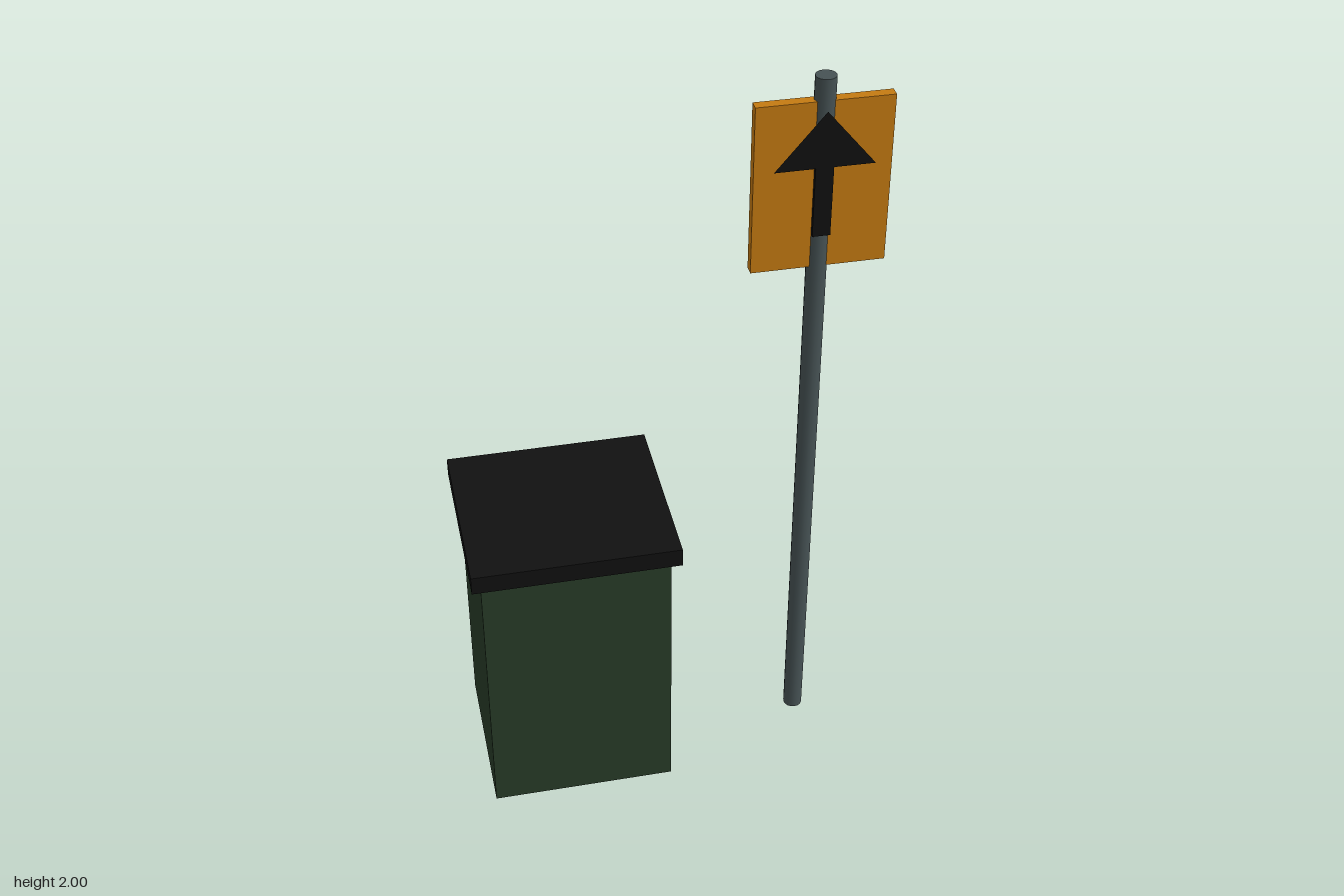
import * as THREE from 'three';

const mat = (name, color) => {
  const m = new THREE.MeshStandardMaterial({ color });
  m.name = name;
  return m;
};

export function createModel() {
  const model = new THREE.Group();
  model.name = 'binAndSign';

  const green = mat('dark green', 0x283c28);
  const black = mat('black', 0x101010);
  const grey = mat('slate grey', 0x465254);
  const orange = mat('amber', 0xc47a12);

  const add = (parent, name, geometry, material, x, y, z) => {
    const mesh = new THREE.Mesh(geometry, material);
    mesh.name = name;
    mesh.position.set(x, y, z);
    parent.add(mesh);
    return mesh;
  };

  // Litter bin: plain body with an overhanging lid
  const bin = new THREE.Group();
  bin.name = 'bin';
  bin.position.x = -0.279;
  model.add(bin);
  add(bin, 'binBody', new THREE.BoxGeometry(0.488, 0.77, 0.45), green, 0, 0.41, 0);
  add(bin, 'binLid', new THREE.BoxGeometry(0.537, 0.051, 0.493), black, 0, 0.82, 0);

  // Sign post: the pole passes through the panel
  const sign = new THREE.Group();
  sign.name = 'sign';
  sign.position.x = 0.373;
  model.add(sign);
  add(sign, 'signPole', new THREE.CylinderGeometry(0.026, 0.026, 2, 16), grey, 0, 1, 0);
  add(sign, 'signPanel', new THREE.BoxGeometry(0.338, 0.446, 0.028), orange, 0, 1.717, 0);

  // Arrow on the front: raised shaft and flat head
  add(sign, 'arrowShaft', new THREE.BoxGeometry(0.045, 0.26, 0.012), black, 0, 1.718, 0.024);
  const head = new THREE.Shape([
    new THREE.Vector2(-0.124, 0),
    new THREE.Vector2(0.124, 0),
    new THREE.Vector2(0, 0.147),
  ]);
  const headMesh = add(sign, 'arrowHead', new THREE.ShapeGeometry(head), black, 0, 1.774, 0.031);
  headMesh.material = black;

  return model;
}
